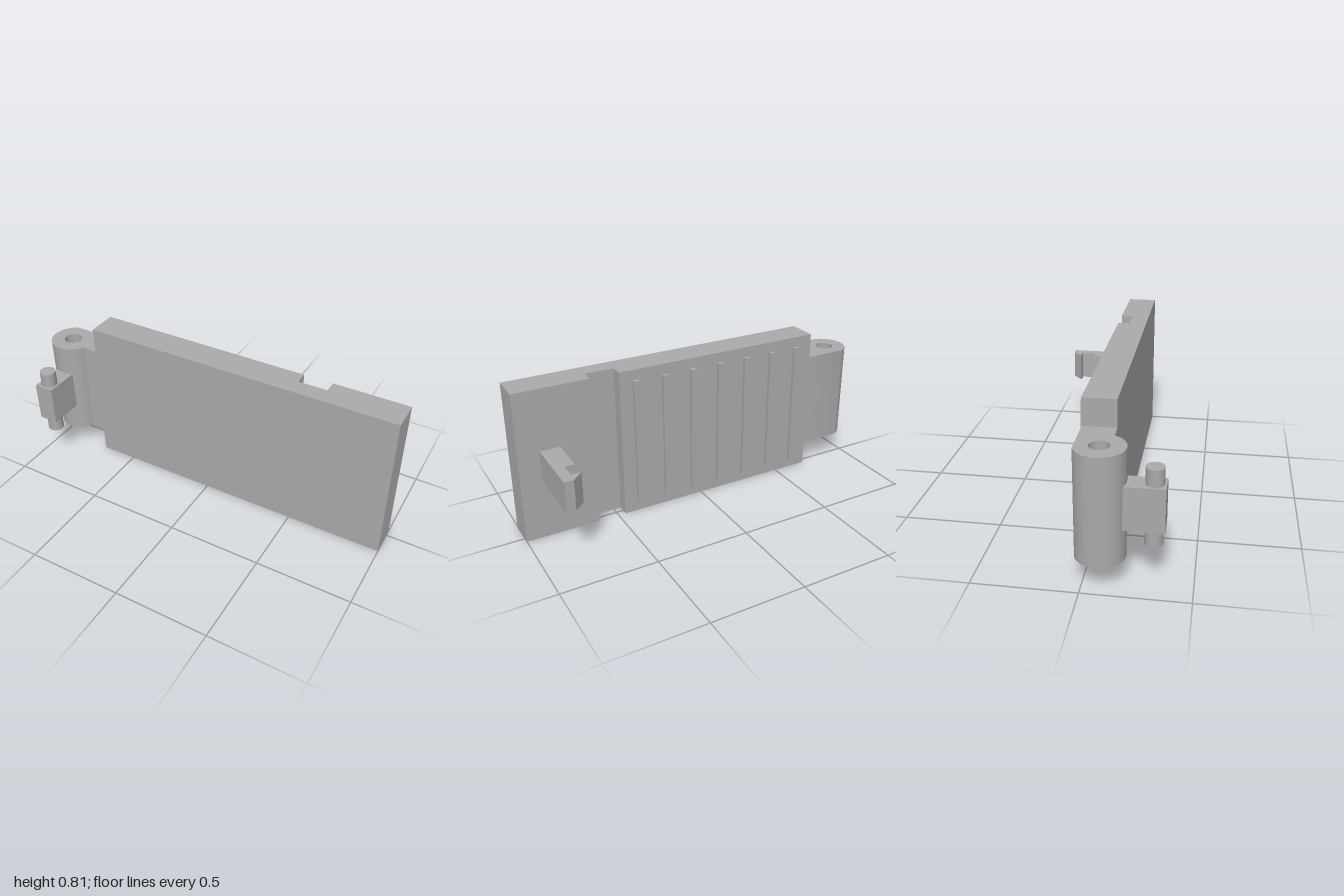
import * as THREE from 'three';
import { toCreasedNormals } from 'three/addons/utils/BufferGeometryUtils.js';

export function createModel() {
  const group = new THREE.Group();
  const grey = new THREE.MeshStandardMaterial({ color: 0xaaaaaa });
  grey.name = 'plain grey';

  const add = (name, geometry) => {
    const mesh = new THREE.Mesh(geometry, grey);
    mesh.name = name;
    group.add(mesh);
    return mesh;
  };
  // Box given by its limits on each axis
  const box = (name, x0, x1, y0, y1, z0, z1) =>
    add(name, new THREE.BoxGeometry(x1 - x0, y1 - y0, z1 - z0))
      .position.set((x0 + x1) / 2, (y0 + y1) / 2, (z0 + z1) / 2);
  // Plan outline (x, -z) raised from y0 to y1
  const raise = (name, shape, y0, y1) => {
    const g = new THREE.ExtrudeGeometry(shape, { depth: y1 - y0, bevelEnabled: false, curveSegments: 40 });
    g.rotateX(-Math.PI / 2).translate(0, y0, 0);
    add(name, toCreasedNormals(g, 0.5));
  };
  const outline = (points) => new THREE.Shape(points.map(([x, z]) => new THREE.Vector2(x, -z)));

  const back = -0.032, front = 0.128;

  // Main plate with a full-height groove across its back
  raise('plate', outline([
    [-0.695, front], [1, front], [1, back], [0.61, back],
    [0.61, 0.035], [0.46, 0.035], [0.46, back], [-0.695, back],
  ]), 0, 0.805);

  // Hinge barrel, flush with the plate on both faces, with a pin hole
  const cx = -0.882, cz = 0.078, r = 0.118;
  const hinge = new THREE.Shape();
  hinge.moveTo(-0.695, -front);
  hinge.lineTo(-0.695, -back);
  hinge.absarc(cx, -cz, r, Math.PI - Math.asin((cz - back) / r), 2 * Math.PI - Math.asin((front - cz) / r), false);
  hinge.closePath();
  const hole = new THREE.Path();
  hole.absarc(cx, -cz, 0.047, 0, Math.PI * 2, true);
  hinge.holes.push(hole);
  raise('hingeBarrel', hinge, 0.136, 0.67);

  // Lug on the front of the barrel, carrying a vertical pin
  box('lug', -0.935, -0.829, 0.296, 0.51, 0.183, 0.368);
  const pin = add('lugPin', new THREE.CylinderGeometry(0.042, 0.042, 0.374, 40));
  pin.position.set(cx, 0.403, 0.316);

  // Grip ribs on the back
  for (let i = 0; i < 7; i++) {
    const x = -0.593 + i * 0.161;
    box('gripRib', x - 0.016, x + 0.016, 0.055, 0.75, -0.053, back + 0.002);
  }

  // Snap hook
  raise('snapHook', outline([
    [0.786, back + 0.002], [0.89, back + 0.002], [0.89, -0.367], [0.842, -0.367],
    [0.786, -0.314], [0.838, -0.314], [0.838, -0.231], [0.786, -0.231],
  ]), 0.323, 0.483);

  return group;
}
